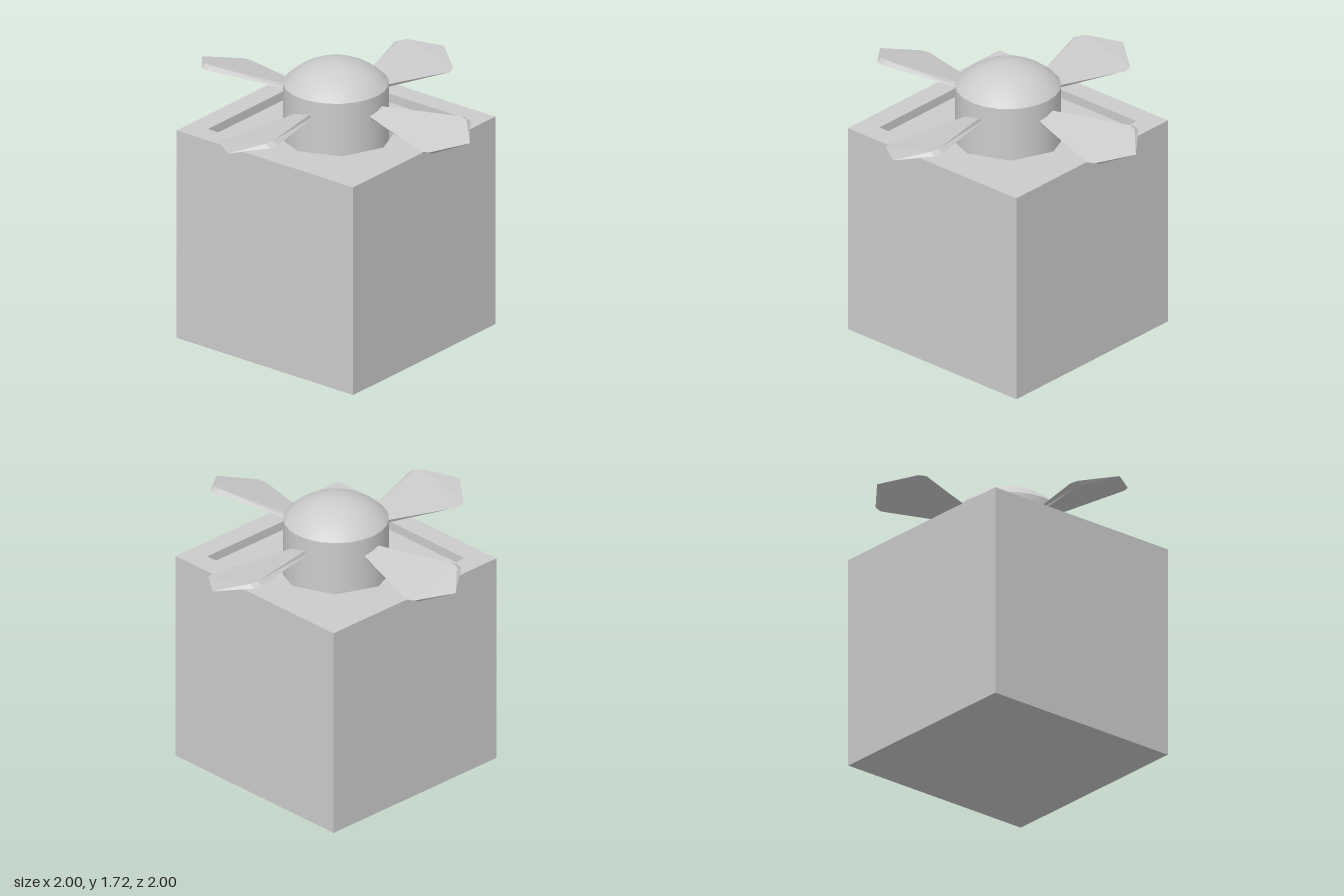
import * as THREE from 'three';

const material = new THREE.MeshStandardMaterial({ color: 0xcccccc });
const flat = new THREE.MeshStandardMaterial({ color: 0xcccccc, flatShading: true });

function add(parent, name, geometry, mat = flat) {
  const mesh = new THREE.Mesh(geometry, mat);
  mesh.name = name;
  parent.add(mesh);
  return mesh;
}

// Regular polygon outline; a square is given by its half width
function polygon(points, PathClass) {
  return new PathClass(points.map(([x, y]) => new THREE.Vector2(x, y)));
}
const square = (h) => [[-h, -h], [h, -h], [h, h], [-h, h]];
const octagon = (r) => Array.from({ length: 8 }, (_, i) => {
  const a = (i * Math.PI) / 4;
  return [r * Math.cos(a), r * Math.sin(a)];
});

// Horizontal slab with a hole, its upper face at topY
function slab(outer, hole, depth, topY) {
  const shape = polygon(outer, THREE.Shape);
  shape.holes.push(polygon(hole, THREE.Path));
  return new THREE.ExtrudeGeometry(shape, { depth, bevelEnabled: false })
    .rotateX(-Math.PI / 2)
    .translate(0, topY - depth, 0);
}

// Blade along +z, lofted from skewed four-point sections and closed to a tip
function bladeGeometry() {
  const t = 0.013;
  const stations = [[0.25, 0.045, 0.003], [0.8, 0.21, 0.03], [0.85, 0.195, 0.03], [1.0, 0.002, 0]];
  const positions = [];
  const index = [];
  stations.forEach(([z, w, skew], i) => {
    const h = i === 3 ? 0.001 : t;
    positions.push(-w, h, z, w - skew, h, z, w, -h, z, -w + skew, -h, z);
  });
  for (let s = 0; s < stations.length - 1; s++) {
    for (let k = 0; k < 4; k++) {
      const a = s * 4 + k, b = s * 4 + ((k + 1) % 4);
      index.push(a, a + 4, b, b, a + 4, b + 4);
    }
  }
  const e = (stations.length - 1) * 4;
  index.push(0, 1, 2, 0, 2, 3, e, e + 2, e + 1, e, e + 3, e + 2);
  const geometry = new THREE.BufferGeometry();
  geometry.setAttribute('position', new THREE.Float32BufferAttribute(positions, 3));
  geometry.setIndex(index);
  geometry.computeVertexNormals();
  return geometry;
}

export function createModel() {
  const model = new THREE.Group();
  model.name = 'fanBlock';

  // Cube body without its top face
  const body = new THREE.Group();
  body.name = 'body';
  model.add(body);
  const box = new THREE.BoxGeometry(1.32, 1.32, 1.32).translate(0, 0.66, 0);
  const faces = Array.from(box.index.array);
  faces.splice(12, 6);
  box.setIndex(faces);
  box.clearGroups();
  add(body, 'bodyWalls', box);

  // Raised rim, sunken panel with an octagonal well, and the well floor
  add(body, 'topRim', slab(square(0.66 - 0.0005), square(0.53), 0.055, 1.32));
  add(body, 'sunkenPanel', slab(square(0.53), octagon(0.355), 0.1, 1.265));
  add(body, 'wellFloor', new THREE.PlaneGeometry(0.8, 0.8).rotateX(-Math.PI / 2).translate(0, 1.165, 0));

  // Rotor: hub, shallow dome and four pitched blades
  const rotor = new THREE.Group();
  rotor.name = 'rotor';
  model.add(rotor);
  add(rotor, 'hub', new THREE.CylinderGeometry(0.31, 0.31, 0.415, 24, 1, true).translate(0, 1.3725, 0), material);

  const radius = 0.413;
  const dome = new THREE.SphereGeometry(radius, 24, 8, 0, Math.PI * 2, 0, Math.asin(0.31 / radius));
  add(rotor, 'hubDome', dome.translate(0, 1.72 - radius, 0), material);

  const blade = bladeGeometry();
  for (let i = 0; i < 4; i++) {
    const arm = new THREE.Group();
    arm.name = 'bladeArm';
    arm.position.y = 1.47;
    arm.rotation.y = (i * Math.PI) / 2;
    add(arm, 'blade', blade).rotation.z = 0.25;
    rotor.add(arm);
  }
  return model;
}
